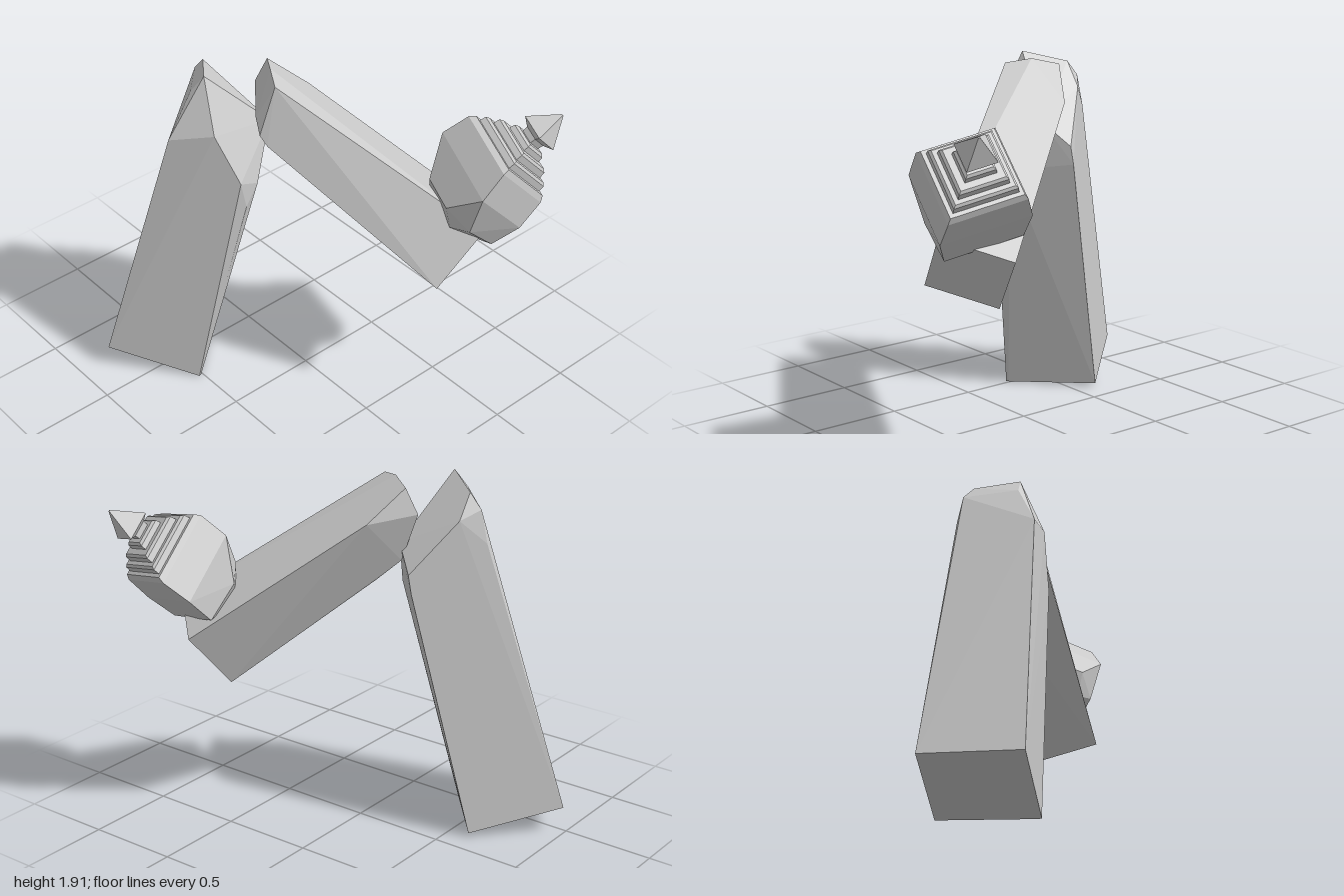
import * as THREE from 'three';
import { ConvexGeometry } from 'three/addons/geometries/ConvexGeometry.js';

const stone = new THREE.MeshStandardMaterial({ color: 0xcccccc });
stone.name = 'pale grey';

// Faceted block spanned by its corner points
function block(name, corners) {
  const mesh = new THREE.Mesh(
    new ConvexGeometry(corners.map((c) => new THREE.Vector3(...c))), stone);
  mesh.name = name;
  return mesh;
}

// Four-sided tapered slab; sizes are half-widths, from height y0 to y1
function slab(name, bottom, top, y0, y1) {
  const s = Math.SQRT2;
  let g = new THREE.CylinderGeometry(top * s, bottom * s, y1 - y0, 4);
  g.rotateY(Math.PI / 4);
  g.translate(0, (y0 + y1) / 2, 0);
  g = g.toNonIndexed();
  g.computeVertexNormals();
  const mesh = new THREE.Mesh(g, stone);
  mesh.name = name;
  return mesh;
}

export function createModel() {
  const model = new THREE.Group();
  model.name = 'jointedLimb';

  // Leaning pillar with a square foot and a worn, chamfered top
  model.add(block('pillar', [
    // foot
    [-0.85, 0.14, -0.68], [-0.525, 0, -0.29], [-0.51, 0, -0.295],
    [-0.13, 0.02, -0.62], [-0.46, 0.155, -1.0],
    // front shoulder
    [-0.36, 1.355, -0.08], [-0.32, 1.19, -0.09], [-0.24, 1.3, -0.095],
    [-0.08, 1.57, -0.19], [0.01, 1.44, -0.31], [0.01, 1.34, -0.33],
    // outer shoulder
    [-0.58, 1.57, -0.375], [-0.44, 1.63, -0.18],
    [-0.25, 1.6, -0.61], [-0.25, 1.77, -0.57], [-0.16, 1.72, -0.5],
    // crest
    [-0.44, 1.81, -0.36], [-0.395, 1.905, -0.305], [-0.25, 1.85, -0.5],
  ]));

  // Arm sloping down and forward
  model.add(block('arm', [
    // square lower end
    [0.2, 0.91, 0.78], [0.45, 0.797, 0.51], [0.68, 1.09, 0.59], [0.43, 1.205, 0.86],
    // chamfered upper end
    [-0.18, 1.89, -0.02], [-0.11, 1.91, -0.14], [-0.03, 1.88, -0.26],
    [0.15, 1.71, -0.15], [-0.07, 1.74, -0.31], [-0.03, 1.69, -0.26],
    [-0.07, 1.48, -0.21], [0.0, 1.37, -0.1],
    [-0.25, 1.58, 0.0], [-0.265, 1.63, -0.04], [-0.24, 1.7, -0.1],
  ]));

  // Head: its local y axis points out of the stepped face
  const head = new THREE.Group();
  head.name = 'head';
  const across = new THREE.Vector3(0.31, 0.233, -0.92).normalize();
  const out = new THREE.Vector3(0.661, 0.641, 0.385);
  out.addScaledVector(across, -out.dot(across)).normalize();
  const down = new THREE.Vector3().crossVectors(across, out);
  head.quaternion.setFromRotationMatrix(new THREE.Matrix4().makeBasis(across, out, down));
  head.position.set(0.635, 1.545, 0.806);

  const body = [];
  for (const s of [-1, 1]) {
    body.push(
      [s * 0.185, 0, -0.185], [s * 0.185, 0, 0.185],
      [s * 0.2, -0.03, -0.2], [s * 0.2, -0.03, 0.2],
      [s * 0.235, -0.19, -0.18], [s * 0.235, -0.19, 0.215],
      [s * 0.205, -0.36, 0.225], [s * 0.215, -0.37, 0.0],
      [s * 0.1, -0.38, -0.125], [s * 0.12, -0.445, 0.0], [s * 0.13, -0.43, 0.1],
    );
  }
  head.add(block('headBody', body));

  // Stepped tiers
  [[0.165, 0, 0.045], [0.128, 0.045, 0.09], [0.08, 0.09, 0.13]].forEach(([r, y0, y1], i) => {
    head.add(slab('tier' + (i + 1), r, r - 0.004, y0 - 0.005, y1 - 0.012));
    head.add(slab('tierBevel' + (i + 1), r - 0.004, r - 0.016, y1 - 0.012, y1));
  });

  // Spike on a narrow neck
  head.add(slab('neck', 0.04, 0.045, 0.12, 0.165));
  head.add(slab('spikeFlare', 0.045, 0.078, 0.16, 0.185));
  head.add(slab('spike', 0.078, 0.004, 0.185, 0.33));
  model.add(head);

  return model;
}
